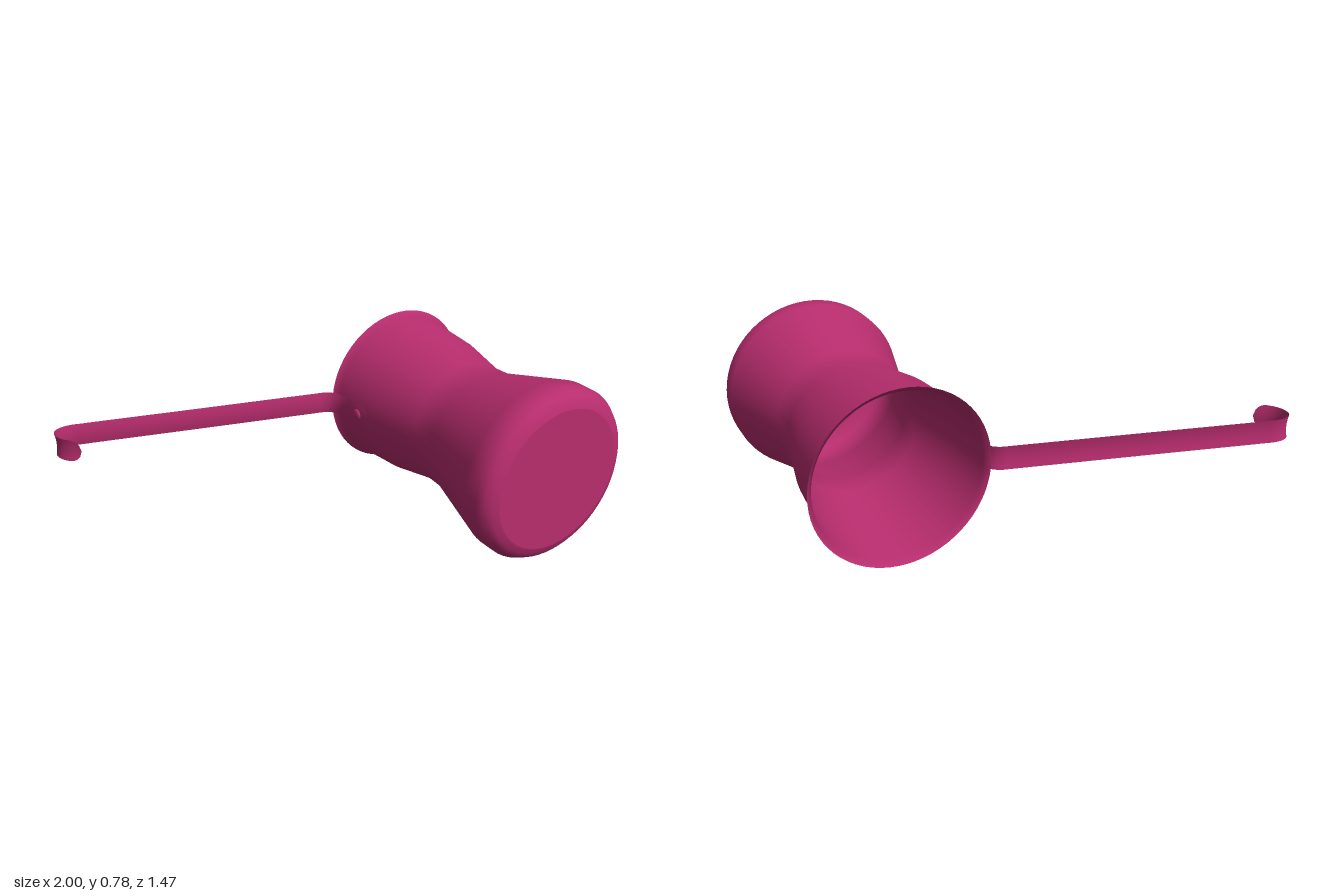
import * as THREE from 'three';

const CX = 0.61, CY = 0.389; // pot axis, running along z

// Thin cupped strip following a path in the xz plane, with rounded ends
function strip(path, halfWidth, cup, rows, cols) {
  const curve = new THREE.CatmullRomCurve3(path.map(([x, z]) => new THREE.Vector3(x, 0, z)), false, 'centripetal');
  curve.arcLengthDivisions = 1000;
  const length = curve.getLength();
  const pos = [], index = [];
  for (let i = 0; i <= rows; i++) {
    const u = i / rows;
    const p = curve.getPointAt(u), t = curve.getTangentAt(u);
    const d = Math.min(Math.min(u, 1 - u) * length, halfWidth);
    const w = Math.sqrt(Math.max(0, halfWidth ** 2 - (halfWidth - d) ** 2));
    for (let j = 0; j <= cols; j++) {
      const y = (j / cols * 2 - 1) * w;
      const bend = cup * (y / halfWidth) ** 2;
      pos.push(p.x - t.z * bend, y, p.z + t.x * bend);
      if (i < rows && j < cols) {
        const a = i * (cols + 1) + j, b = a + cols + 1;
        index.push(a, b, a + 1, a + 1, b, b + 1);
      }
    }
  }
  const g = new THREE.BufferGeometry();
  g.setAttribute('position', new THREE.Float32BufferAttribute(pos, 3));
  g.setIndex(index);
  g.computeVertexNormals();
  return g;
}

export function createModel() {
  const group = new THREE.Group();
  const material = new THREE.MeshStandardMaterial({ color: 0xb82d6e, side: THREE.DoubleSide });
  const add = (name, geometry, x, y, z) => {
    const mesh = new THREE.Mesh(geometry, material);
    mesh.name = name;
    mesh.position.set(x, y, z);
    group.add(mesh);
    return mesh;
  };

  // Waisted pot wall: [radius, z] from base to flared rim
  const profile = [
    [0.315, 0.73], [0.345, 0.72], [0.368, 0.702], [0.388, 0.67], [0.388, 0.595],
    [0.292, 0.25], [0.287, 0.12], [0.333, -0.11], [0.352, -0.362], [0.375, -0.387],
  ].map(([r, z]) => new THREE.Vector2(r, -z));
  add('potWall', new THREE.LatheGeometry(profile, 64).rotateX(-Math.PI / 2), CX, CY, 0);

  // Flat closed base
  add('potBase', new THREE.CircleGeometry(0.315, 64), CX, CY, 0.73);

  // Handle: riveted tab on the wall, bend at the rim, long arm, hooked end
  const path = [
    [0.27, -0.15], [0.262, -0.2], [0.257, -0.26], [0.255, -0.31], [0.247, -0.35],
    [0.228, -0.383], [0.2, -0.403], [0.15, -0.418], [-0.4, -0.578], [-0.86, -0.713],
    [-0.92, -0.729], [-0.96, -0.727], [-0.988, -0.711], [-0.999, -0.68],
    [-0.994, -0.645], [-0.975, -0.613], [-0.93, -0.57],
  ];
  add('handle', strip(path, 0.051, 0.006, 200, 6), 0, CY, 0);

  // Rivet head fixing the handle to the wall
  const rivet = add('rivet', new THREE.SphereGeometry(0.026, 20, 12), 0.26, CY, -0.22);
  rivet.scale.x = 0.4;

  return group;
}
